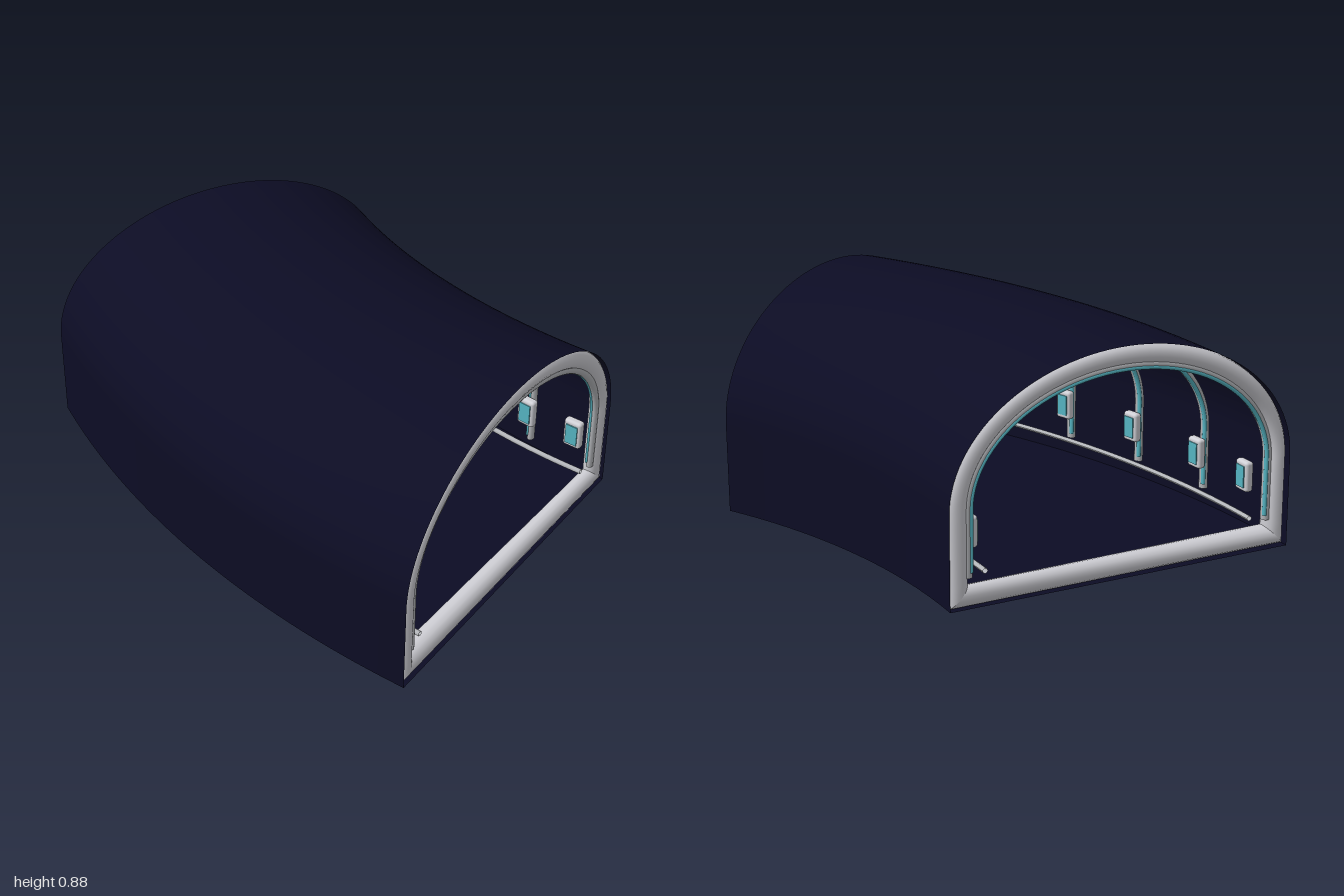
import * as THREE from 'three';
import { RoundedBoxGeometry } from 'three/addons/geometries/RoundedBoxGeometry.js';

const R = 3.3;              // bend radius of the centre line
const SWEEP = Math.PI / 6;  // the tunnel turns by 30 degrees
const LENGTH = R * SWEEP;
const HALF = 0.7, SPRING = 0.36, RISE = 0.515;
const deg = THREE.MathUtils.degToRad;

// Across the tunnel (u), up (y) and along the bend (angle t) to model space
function place(u, y, t) {
  return new THREE.Vector3(3.125 - (R - u) * Math.cos(t), y, 1 - (R - u) * Math.sin(t));
}

// Smooth surface over a grid of points given by a rule on 0..1 x 0..1
function loft(nu, nv, rule) {
  const pos = [], index = [];
  for (let i = 0; i <= nu; i++) {
    for (let j = 0; j <= nv; j++) {
      pos.push(...rule(i / nu, j / nv).toArray());
      if (i < nu && j < nv) {
        const a = i * (nv + 1) + j, b = a + nv + 1;
        index.push(a, b, a + 1, b, b + 1, a + 1);
      }
    }
  }
  const geo = new THREE.BufferGeometry();
  geo.setAttribute('position', new THREE.Float32BufferAttribute(pos, 3));
  geo.setIndex(index);
  geo.computeVertexNormals();
  return geo;
}

// Point on the arch, inset by d from the shell; k runs from left foot to right foot
function arch(k, d, foot) {
  const w = HALF - d, leg = 0.1;
  if (k < leg) return [-w, foot + (SPRING - foot) * (k / leg)];
  if (k > 1 - leg) return [w, foot + (SPRING - foot) * ((1 - k) / leg)];
  const a = Math.PI * (1 - (k - leg) / (1 - 2 * leg));
  return [w * Math.cos(a), SPRING + (RISE - d) * Math.sin(a)];
}

// Round bar following the arch at distance s along the tunnel
function archBar(inset, radius, s, foot) {
  return loft(60, 14, (k, v) => {
    const a = v * Math.PI * 2;
    const d = inset - radius * Math.cos(a);
    const [u, y] = arch(k, d, foot ?? d);
    return place(u, y, (s + radius * Math.sin(a)) / R);
  });
}

export function createModel() {
  const model = new THREE.Group();
  const material = (name, color) => {
    const m = new THREE.MeshStandardMaterial({ color, side: THREE.DoubleSide });
    m.name = name;
    return m;
  };
  const navy = material('navy shell', 0x0c0c24);
  const white = material('pale metal', 0xd0d0d6);
  const grey = material('grey metal', 0xb4b6ba);
  const teal = material('teal glow', 0x55b4c2);

  const add = (name, geo, mat, parent = model) => {
    const mesh = new THREE.Mesh(geo, mat);
    mesh.name = name;
    parent.add(mesh);
    return mesh;
  };

  // Curved vault and flat floor
  add('vault', loft(70, 40, (k, v) => {
    const [u, y] = arch(k, 0, 0);
    return place(u, y, v * SWEEP);
  }), navy);
  add('floor', loft(2, 40, (k, v) => place(HALF * (1 - 2 * k), 0, v * SWEEP)), navy);

  // Rounded rims with mitred sills at both openings
  const rimR = 0.0395, rimInset = 0.0405;
  for (const [name, s] of [['front', 0.0405], ['back', LENGTH - 0.0405]]) {
    add(name + 'Rim', archBar(rimInset, rimR, s), white);
    add(name + 'Sill', loft(2, 14, (k, v) => {
      const a = v * Math.PI * 2;
      const d = rimInset - rimR * Math.cos(a);
      return place((HALF - d) * (1 - 2 * k), d, (s + rimR * Math.sin(a)) / R);
    }), white);
  }

  // Ribs with light strips along their inner edge
  const ribs = [0.5, 6.3, 12.1, 17.9, 23.7, 29.5];
  for (const t of ribs) {
    const s = deg(t) * R;
    add('rib', archBar(0.08, 0.016, s, 0.11), grey);
    add('ribLight', archBar(0.09, 0.008, s + 0.01, 0.13), teal);
  }

  // Low rails and wall panels on both sides
  const frameGeo = new RoundedBoxGeometry(0.035, 0.12, 0.075, 3, 0.012);
  const screenGeo = new THREE.BoxGeometry(0.008, 0.085, 0.05);
  const panels = [1.8, 6.3, 12.1, 17.9, 23.7, 28.2];
  for (const side of [-1, 1]) {
    add(side < 0 ? 'rightRail' : 'leftRail', loft(40, 8, (k, v) => {
      const a = v * Math.PI * 2;
      return place(side * 0.552 + 0.01 * Math.cos(a), 0.122 + 0.01 * Math.sin(a),
        deg(0.5 + 29 * k));
    }), grey);
    for (const t of panels) {
      const panel = new THREE.Group();
      panel.name = 'wallPanel';
      panel.position.copy(place(side * 0.583, 0.263, deg(t)));
      panel.rotation.y = -deg(t);
      add('panelFrame', frameGeo, white, panel);
      add('panelScreen', screenGeo, teal, panel).position.x = -side * 0.018;
      model.add(panel);
    }
  }
  return model;
}
